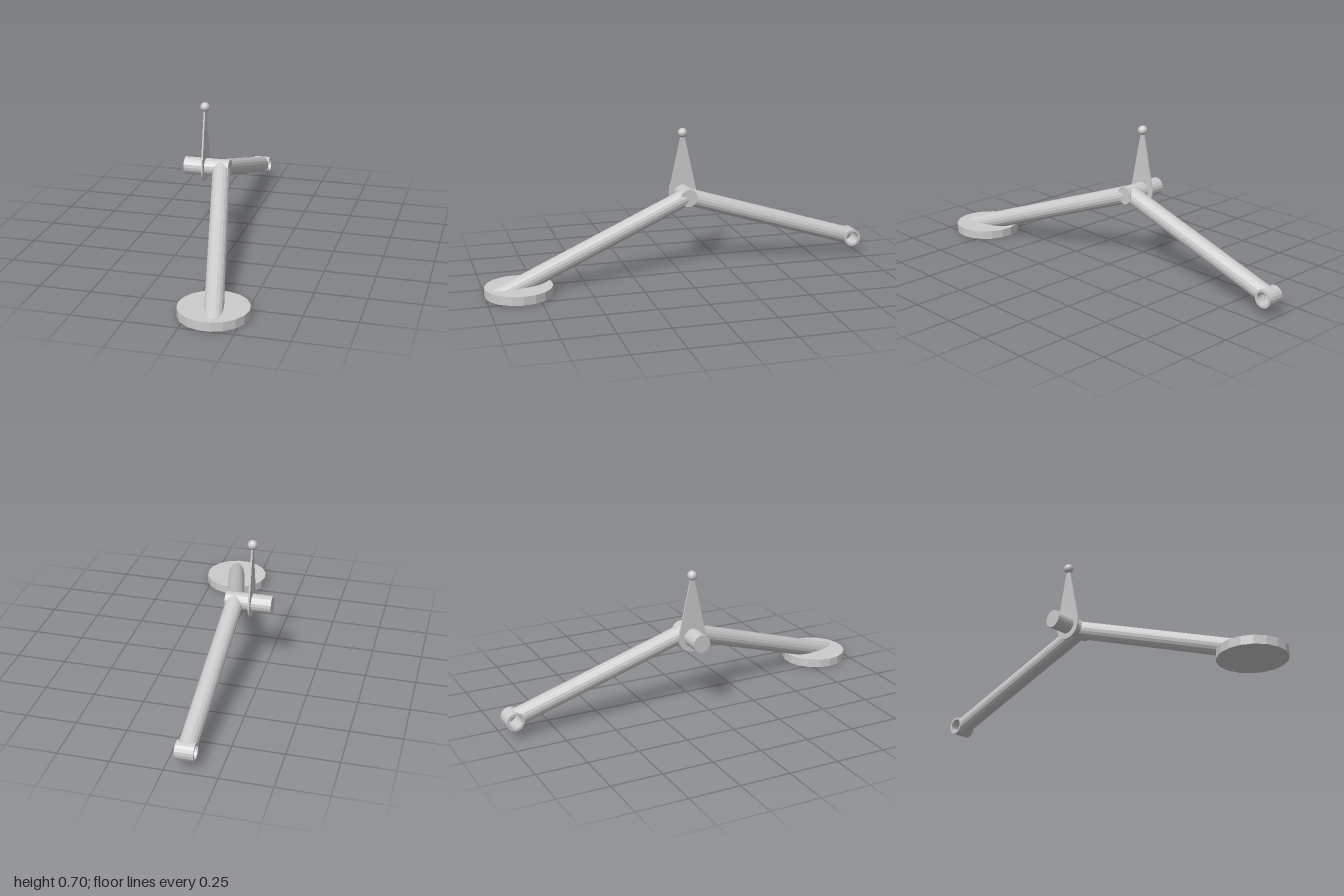
import * as THREE from 'three';

const SIDES = 18;
const material = new THREE.MeshStandardMaterial({ color: 0xcccccc, flatShading: true, side: THREE.DoubleSide });
const smooth = new THREE.MeshStandardMaterial({ color: 0xcccccc });

const HUB = new THREE.Vector3(-0.094, 0.3685, -0.058);
const EYE = new THREE.Vector3(-0.094, 0.09, -0.955);
const FOOT = new THREE.Vector3(0.117, 0.043, 0.837);
const R = 0.0445;

function add(group, name, geometry, mat = material) {
  const mesh = new THREE.Mesh(geometry, mat);
  mesh.name = name;
  group.add(mesh);
  return mesh;
}

// Rod between two points; trim(vertex, direction) returns how far to slide each far-end vertex along the rod
function rod(from, to, radius, trim) {
  const dir = to.clone().sub(from);
  const length = dir.length();
  dir.normalize();
  const geometry = new THREE.CylinderGeometry(radius, radius, length, SIDES);
  const turn = new THREE.Quaternion().setFromUnitVectors(new THREE.Vector3(0, 1, 0), dir);
  const middle = from.clone().add(to).multiplyScalar(0.5);
  const pos = geometry.attributes.position;
  const v = new THREE.Vector3();
  for (let i = 0; i < pos.count; i++) {
    v.fromBufferAttribute(pos, i);
    const farEnd = v.y > 0;
    v.applyQuaternion(turn).add(middle);
    if (farEnd) v.addScaledVector(dir, trim(v, dir));
    pos.setXYZ(i, v.x, v.y, v.z);
  }
  geometry.computeVertexNormals();
  return geometry;
}

export function createModel() {
  const group = new THREE.Group();

  // Pivot shaft across the top of the two arms
  const shaft = add(group, 'pivotShaft', new THREE.CylinderGeometry(R, R, 0.232, SIDES));
  shaft.rotation.z = Math.PI / 2;
  shaft.position.set(-0.165, HUB.y, HUB.z);

  // Rear arm, its end saddled against the eye
  const across = new THREE.Vector3(1, 0, 0);
  add(group, 'rearArm', rod(HUB, EYE, 0.044, (v, dir) => {
    const u = v.clone().sub(EYE).dot(across.clone().cross(dir));
    return -Math.sqrt(Math.max(0, 0.042 ** 2 - u * u));
  }));

  // Open eye at the end of the rear arm
  const eye = add(group, 'rearEye', new THREE.LatheGeometry([
    [0.033, -0.0445], [R, -0.0445], [R, 0.0445], [0.033, 0.0445], [0.033, -0.0445],
  ].map(([x, y]) => new THREE.Vector2(x, y)), SIDES));
  eye.rotation.z = Math.PI / 2;
  eye.position.copy(EYE);

  // Front arm, cut level just inside the foot
  add(group, 'frontArm', rod(HUB, FOOT, 0.044, (v, dir) => (0.035 - v.y) / dir.y));

  // Round foot plate
  const foot = add(group, 'footPlate',
    new THREE.CylinderGeometry(0.165, 0.165, 0.043, 18, 1, false, Math.PI / 18));
  foot.position.set(0.115, 0.0215, 0.8375);

  // Thin lever plate: round below the shaft, tapering to the knob
  const outline = new THREE.Shape();
  outline.moveTo(-0.006, 0.312);
  outline.lineTo(-0.071, 0.016);
  outline.absarc(0, 0, 0.073, Math.PI - 0.22, Math.PI * 2 + 0.22, false);
  outline.lineTo(0.006, 0.312);
  outline.closePath();
  const plate = new THREE.ExtrudeGeometry(outline, { depth: 0.008, bevelEnabled: false, curveSegments: 12 });
  plate.translate(0, 0, -0.004);
  const lever = add(group, 'leverPlate', plate);
  lever.rotation.y = Math.PI / 2;
  lever.position.set(-0.177, HUB.y, HUB.z);

  // Knob
  const knob = add(group, 'leverKnob', new THREE.SphereGeometry(0.024, 20, 14), smooth);
  knob.position.set(-0.177, 0.681, HUB.z);

  return group;
}
